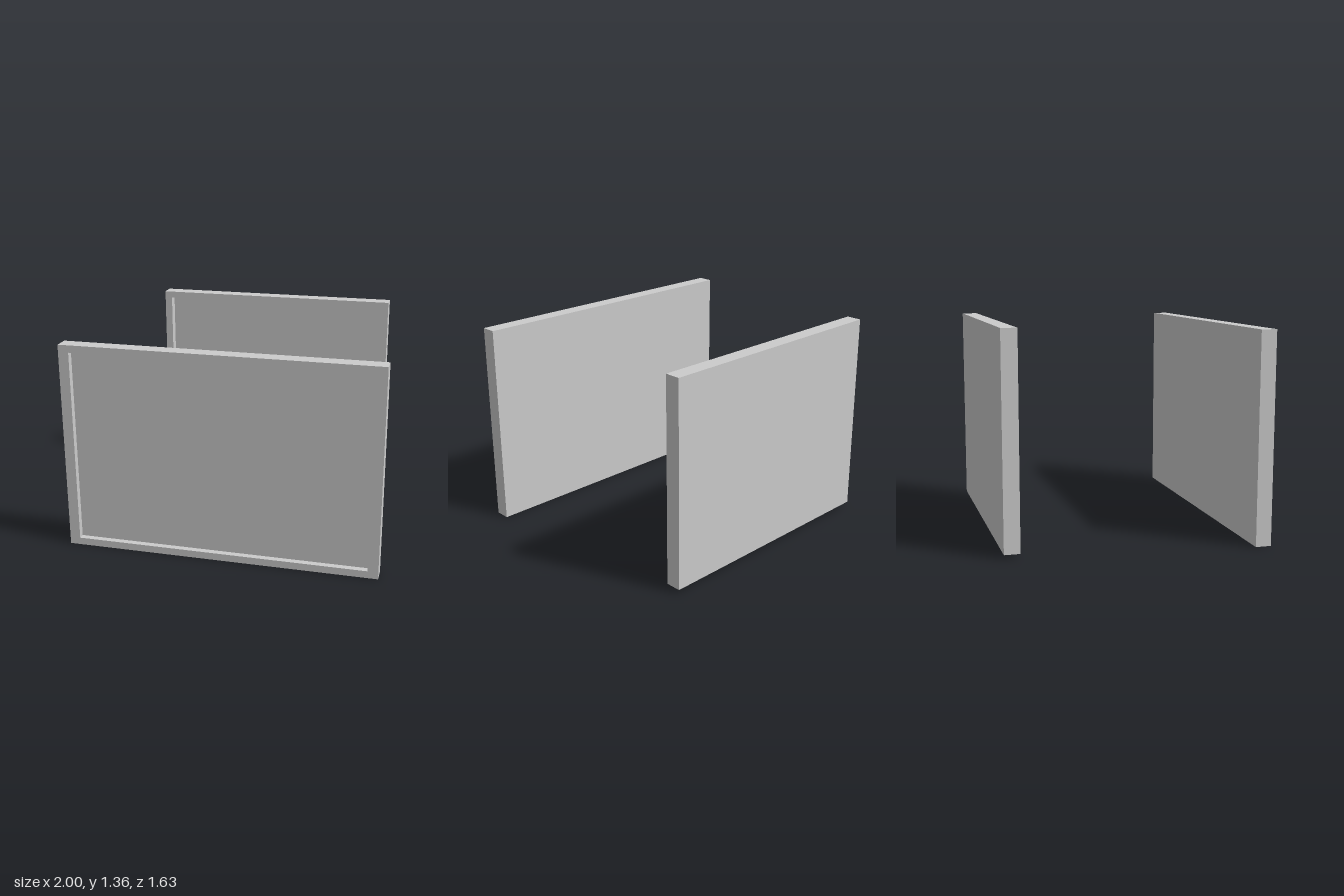
import * as THREE from 'three';

const material = new THREE.MeshStandardMaterial({ color: 0xcccccc, flatShading: true });

// Rectangle outline centred on the origin
function rectangle(PathType, w, h) {
  return new PathType([[-w, -h], [w, -h], [w, h], [-w, h]]
    .map(([x, y]) => new THREE.Vector2(x / 2, y / 2)));
}

// Shallow tray standing upright: a raised rim around a recessed panel, open to +z
function createTray({ name, width, height, depth, recess, rimX, rimY }) {
  const tray = new THREE.Group();
  tray.name = name;
  const innerW = width - 2 * rimX, innerH = height - 2 * rimY;

  // Rim runs the full depth, with the opening cut through
  const outline = rectangle(THREE.Shape, width, height);
  outline.holes.push(rectangle(THREE.Path, innerW, innerH));
  const rim = new THREE.Mesh(
    new THREE.ExtrudeGeometry(outline, { depth, bevelEnabled: false }), material);
  rim.name = 'rim';
  rim.position.z = -depth / 2;

  // Panel closes the back of the opening
  const panel = new THREE.Mesh(
    new THREE.BoxGeometry(innerW, innerH, depth - recess), material);
  panel.name = 'recessedPanel';
  panel.position.z = -recess / 2;

  tray.add(rim, panel);
  return tray;
}

export function createModel() {
  const model = new THREE.Group();
  model.name = 'trayPair';

  const front = createTray({
    name: 'frontTray', width: 2, height: 1.335, depth: 0.1, recess: 0.04, rimX: 0.067, rimY: 0.046,
  });
  front.position.set(0, 0.6675, 0.767);

  const back = createTray({
    name: 'backTray', width: 1.664, height: 1.335, depth: 0.1, recess: 0.06, rimX: 0.05, rimY: 0.046,
  });
  back.position.set(0, 0.6925, -0.767);

  model.add(front, back);
  return model;
}
